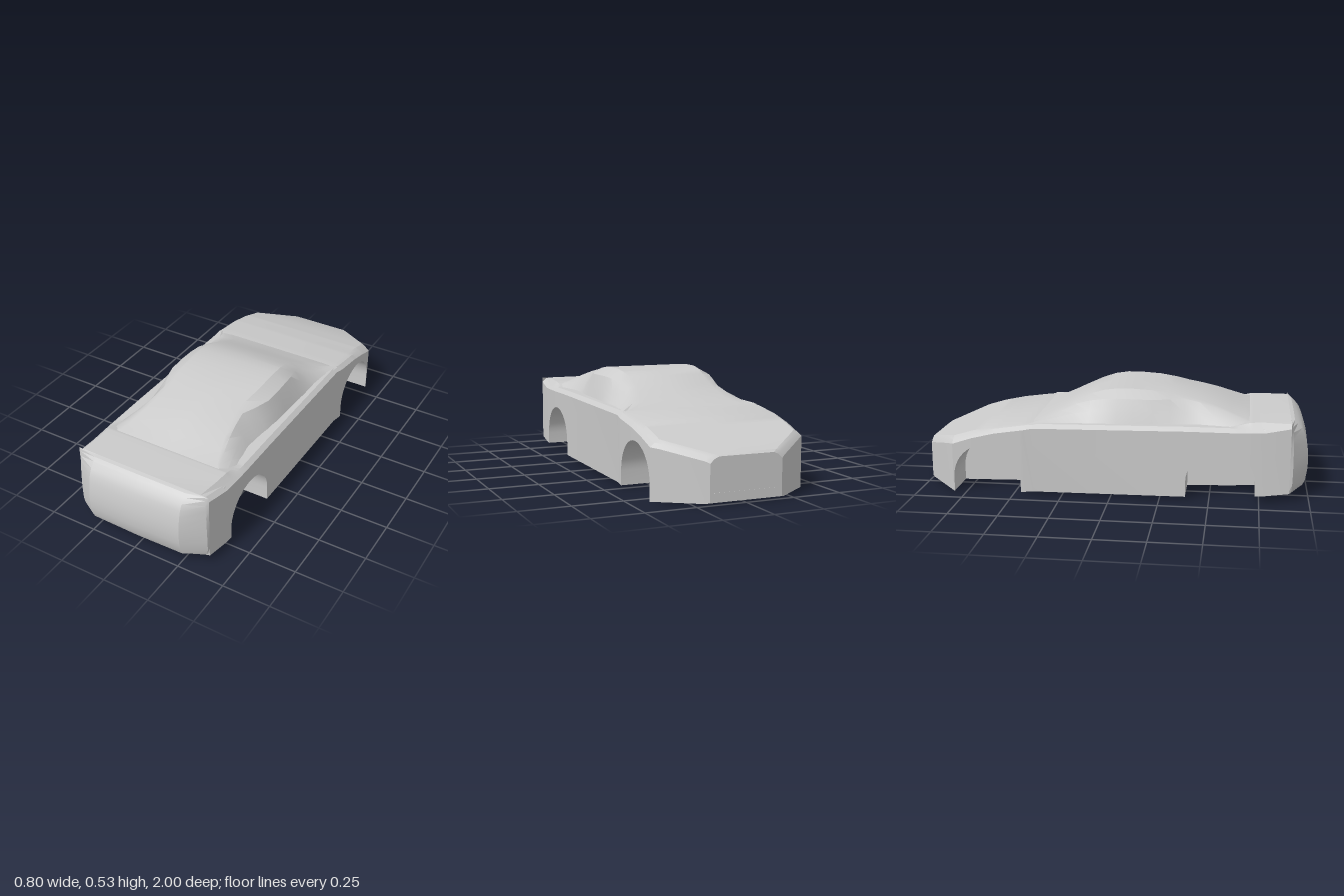
import * as THREE from 'three';
import { toCreasedNormals } from 'three/addons/utils/BufferGeometryUtils.js';

const material = new THREE.MeshStandardMaterial({ color: 0xcccccc, side: THREE.DoubleSide });

// Skin a list of equally long rows of [x, y, z] points.
function skin(name, rows, closed, crease) {
  const n = rows[0].length, index = [];
  for (let i = 0; i < rows.length - 1; i++) {
    for (let j = 0; j < (closed ? n : n - 1); j++) {
      const k = (j + 1) % n;
      const a = i * n + j, b = i * n + k, c = b + n, d = a + n;
      index.push(a, b, c, a, c, d);
    }
  }
  const geo = new THREE.BufferGeometry();
  geo.setAttribute('position', new THREE.Float32BufferAttribute(rows.flat(2), 3));
  geo.setIndex(index);
  const mesh = new THREE.Mesh(toCreasedNormals(geo, crease), material);
  mesh.name = name;
  return mesh;
}

// Mirror a half section running from +x to the middle.
const mirror = (half) => [...half, ...half.slice().reverse().map(([x, y, z]) => [-x, y, z])];

// Body stations, nose to tail: z, half width, centre top, edge top, floor
const STATIONS = [
  [-1, 0.185, 0.222, 0.212, 0.012],
  [-0.985, 0.205, 0.232, 0.222, 0.008],
  [-0.85, 0.365, 0.276, 0.266, 0.003],
  [-0.82, 0.398, 0.286, 0.272, 0],
  [-0.72, 0.4, 0.316, 0.305, 0.002],
  [-0.6, 0.4, 0.341, 0.334, 0.004],
  [-0.45, 0.398, 0.361, 0.356, 0.008],
  [-0.4, 0.39, 0.366, 0.364, 0.01],
  [0.38, 0.39, 0.375, 0.375, 0.015],
  [0.6, 0.39, 0.375, 0.375, 0.022],
  [0.7, 0.388, 0.4, 0.376, 0.028],
  [0.77, 0.385, 0.402, 0.378, 0.032],
  [0.9, 0.37, 0.404, 0.4, 0.045],
];
const ARCHES = [{ z: -0.64, y: 0.08 }, { z: 0.555, y: 0.09 }];
const ARCH_R = 0.175, WELL_X = 0.195;

function stationAt(z) {
  let i = 0;
  while (i < STATIONS.length - 2 && z > STATIONS[i + 1][0]) i++;
  const a = STATIONS[i], b = STATIONS[i + 1];
  const t = (z - a[0]) / (b[0] - a[0]);
  return a.map((v, k) => THREE.MathUtils.lerp(v, b[k], t));
}

// Closed section; the outer underside rises inside the wheel arches.
function bodySection(z) {
  const [, w, top, edge, floor] = stationAt(z);
  let under = floor;
  for (const arch of ARCHES) {
    const d = Math.abs(z - arch.z);
    if (d <= ARCH_R + 1e-6) under = arch.y + Math.sqrt(Math.max(0, ARCH_R ** 2 - d * d));
  }
  const xi = Math.min(WELL_X, w * 0.9);
  return mirror([
    [0, floor, z], [xi, floor, z], [xi, under, z], [w, under, z],
    [w, edge - 0.02, z], [w - 0.022, edge, z], [w - 0.045, top, z], [0, top, z],
  ]);
}

function makeBody() {
  const zs = STATIONS.map((s) => s[0]);
  for (const arch of ARCHES) {
    for (let k = 0; k <= 20; k++) zs.push(arch.z - ARCH_R * Math.cos((k * Math.PI) / 20));
    zs.push(arch.z - ARCH_R - 1e-4, arch.z + ARCH_R + 1e-4);
  }
  zs.sort((a, b) => a - b);
  const rows = zs.map(bodySection);
  // close the nose onto its middle
  rows.unshift(rows[0].map(() => [0, 0.12, -1]));
  return skin('body', rows, true, 0.4);
}

// Cabin stations: z, roof height, roof flat half width, rail x, rail y, base x
const CABIN = [
  [-0.42, 0.362, 0.3, 0.35, 0.361, 0.38],
  [-0.34, 0.394, 0.23, 0.29, 0.385, 0.365],
  [-0.27, 0.427, 0.215, 0.275, 0.415, 0.357],
  [-0.2, 0.462, 0.205, 0.25, 0.447, 0.352],
  [-0.12, 0.498, 0.21, 0.268, 0.472, 0.35],
  [-0.05, 0.52, 0.22, 0.285, 0.485, 0.347],
  [0.02, 0.53, 0.225, 0.29, 0.49, 0.344],
  [0.1, 0.53, 0.225, 0.293, 0.49, 0.342],
  [0.2, 0.524, 0.222, 0.29, 0.488, 0.34],
  [0.29, 0.512, 0.21, 0.262, 0.488, 0.335],
  [0.36, 0.498, 0.2, 0.232, 0.488, 0.33],
  [0.44, 0.48, 0.215, 0.24, 0.472, 0.325],
  [0.52, 0.458, 0.23, 0.252, 0.45, 0.34],
  [0.6, 0.43, 0.25, 0.27, 0.424, 0.357],
  [0.67, 0.405, 0.275, 0.29, 0.4, 0.37],
  [0.77, 0.375, 0.35, 0.365, 0.372, 0.38],
];

function makeCabin() {
  const rows = CABIN.map(([z, top, flat, railX, railY, baseX]) => mirror([
    [baseX, 0.36, z], [(railX + baseX) / 2, (railY + 0.372) / 2, z],
    [railX, railY, z], [flat, top, z], [0, top, z],
  ]));
  return skin('cabin', rows, false, 0.45);
}

// Curved rear bumper panel with bevelled corners: y, z, half width
const TAIL = [
  [0.045, 0.9, 0.37], [0.048, 0.955, 0.352], [0.062, 0.975, 0.362],
  [0.09, 0.988, 0.367], [0.14, 0.997, 0.367], [0.19, 1, 0.366],
  [0.24, 0.997, 0.364], [0.29, 0.989, 0.362], [0.33, 0.978, 0.359],
  [0.36, 0.962, 0.357], [0.386, 0.938, 0.354], [0.4, 0.92, 0.35],
  [0.404, 0.9, 0.325],
];

function makeTail() {
  const rows = TAIL.map(([y, z, w]) => {
    const mid = 0.9 + (z - 0.9) * 0.93, out = 0.9 + (z - 0.9) * 0.15;
    return [[-0.37, y, 0.9], [-w, y, out], [-0.258, y, mid], [0, y, z],
      [0.258, y, mid], [w, y, out], [0.37, y, 0.9]].reverse();
  });
  // rows run upward, so points run from +x to -x reversed for outward faces
  return skin('rearBumper', rows.map((r) => r.reverse()).reverse().map((r) => r.reverse()), false, 0.35);
}

function box(name, w, h, d, x, y, z) {
  const mesh = new THREE.Mesh(new THREE.BoxGeometry(w, h, d), material);
  mesh.name = name;
  mesh.position.set(x, y, z);
  return mesh;
}

export function createModel() {
  const car = new THREE.Group();
  car.name = 'car';
  car.add(makeBody(), makeCabin(), makeTail());
  // low nose intake strip
  car.add(box('noseIntake', 0.33, 0.03, 0.01, 0, 0.042, -0.996));
  return car;
}
